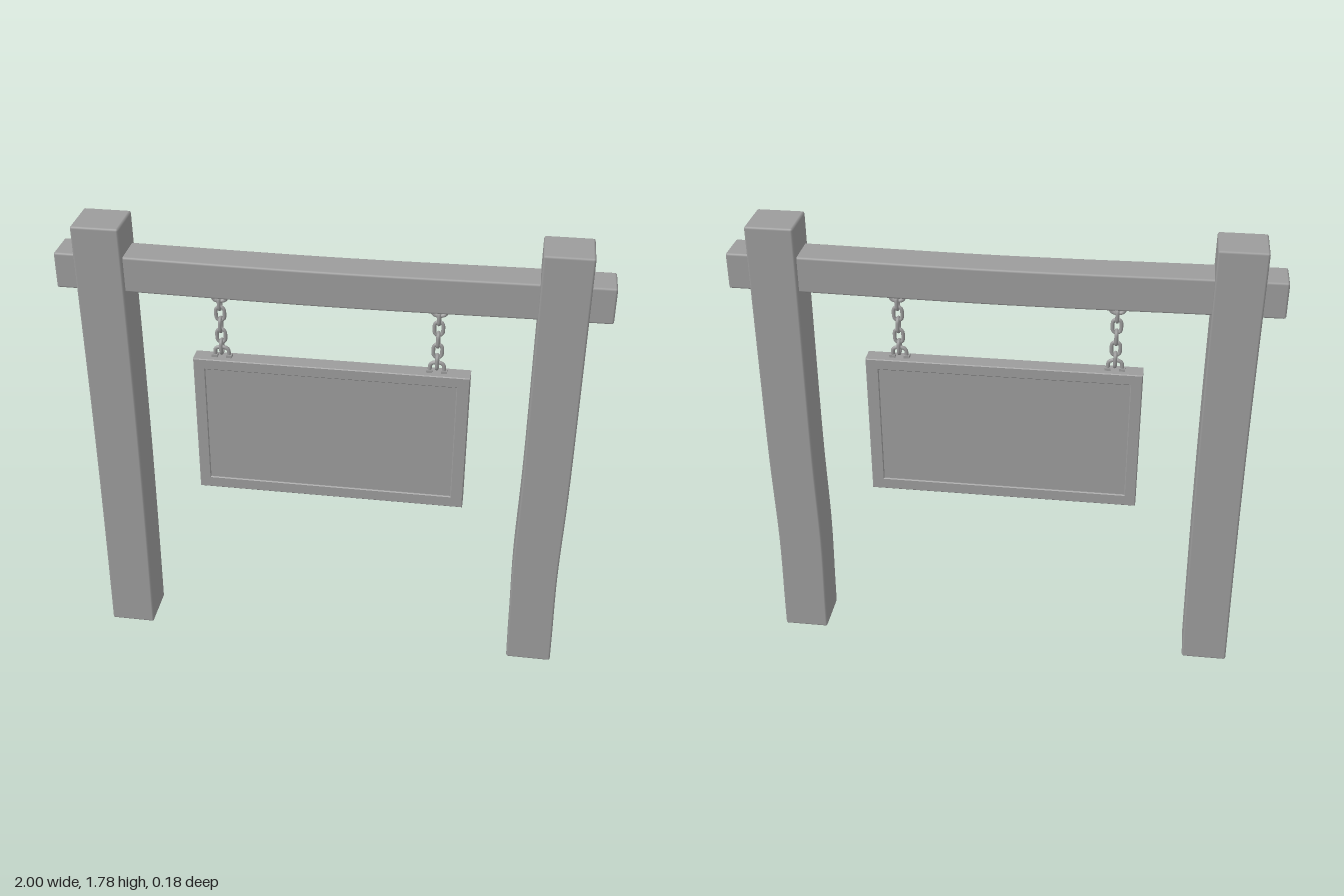
import * as THREE from 'three';

const material = new THREE.MeshStandardMaterial({ color: 0x9c9c9c });

function part(name, geometry, parent) {
  const mesh = new THREE.Mesh(geometry, material);
  mesh.name = name;
  parent.add(mesh);
  return mesh;
}

// Upright timber centred on the origin, with smoothly rounded edges
function timber(width, length, depth) {
  const r = 0.008;
  const half = [width / 2, length / 2, depth / 2];
  const segments = [3, 24, 3];
  const geometry = new THREE.BoxGeometry(width, length, depth, ...segments);
  const { position, normal } = geometry.attributes;
  const p = new THREE.Vector3(), n = new THREE.Vector3();
  const core = new THREE.Vector3(half[0] - r, half[1] - r, half[2] - r);
  const coreMin = core.clone().negate();
  for (let i = 0; i < position.count; i++) {
    p.fromBufferAttribute(position, i);
    // push the first inner ring out to where the rounding starts
    for (let a = 0; a < 3; a++) {
      const v = p.getComponent(a);
      const ring = half[a] * (1 - 2 / segments[a]);
      if (Math.abs(Math.abs(v) - ring) < 1e-4) p.setComponent(a, Math.sign(v) * (half[a] - r));
    }
    n.copy(p);
    p.clamp(coreMin, core);
    n.sub(p).normalize();
    p.addScaledVector(n, r);
    position.setXYZ(i, p.x, p.y, p.z);
    normal.setXYZ(i, n.x, n.y, n.z);
  }
  return geometry;
}

// Move every vertex by a rule
function warp(geometry, rule) {
  const p = geometry.attributes.position;
  const v = new THREE.Vector3();
  for (let i = 0; i < p.count; i++) {
    rule(v.fromBufferAttribute(p, i));
    p.setXYZ(i, v.x, v.y, v.z);
  }
  return geometry;
}

// Oval chain link standing in the xy plane
function linkGeometry(length, width, wire) {
  const r = width / 2 - wire, s = length / 2 - width / 2;
  const points = [];
  for (let i = 0; i < 16; i++) {
    const a = (i + 0.5) / 16 * Math.PI * 2;
    points.push(new THREE.Vector3(r * Math.cos(a), r * Math.sin(a) + s * Math.sign(Math.sin(a)), 0));
  }
  return new THREE.TubeGeometry(new THREE.CatmullRomCurve3(points, true), 32, wire, 8, true);
}

// Square-shouldered staple with flat feet, opening downwards at y = 0
function staple(name, parent) {
  const group = new THREE.Group();
  group.name = name;
  const path = new THREE.CatmullRomCurve3([
    [-0.026, 0], [-0.026, 0.018], [-0.023, 0.032], [-0.012, 0.039],
    [0.012, 0.039], [0.023, 0.032], [0.026, 0.018], [0.026, 0],
  ].map(([x, y]) => new THREE.Vector3(x, y, 0)));
  part('stapleArch', new THREE.TubeGeometry(path, 24, 0.0075, 8), group);
  for (const s of [-1, 1]) {
    part('stapleFoot', new THREE.BoxGeometry(0.022, 0.012, 0.022), group).position.set(s * 0.027, 0.004, 0);
  }
  parent.add(group);
  return group;
}

export function createModel() {
  const model = new THREE.Group();
  model.name = 'hangingSign';

  // Posts, each with its own slight bow
  const posts = [
    ['rightPost', -0.833, (y) => 0.006 * Math.sin(Math.PI * y / 1.785)],
    ['leftPost', 0.826, (y) => -0.008 * Math.exp(-(((y - 0.42) / 0.28) ** 2))],
  ];
  for (const [name, x, bow] of posts) {
    const geometry = timber(0.177, 1.785, 0.178).translate(0, 0.8925, 0);
    part(name, warp(geometry, (v) => { v.x += bow(v.y); }), model).position.x = x;
  }

  // Crossbeam, sagging a little in the middle
  const beam = timber(0.137, 2, 0.138).rotateZ(Math.PI / 2).translate(0, 1.602, 0);
  part('crossbeam', warp(beam, (v) => {
    v.y -= 0.008 * Math.cos(Math.PI * v.x / 2) ** 2;
  }), model);

  // Sign board: frame with a shallow recessed panel on both faces
  const sign = new THREE.Group();
  sign.name = 'signBoard';
  sign.position.y = 0.971;
  model.add(sign);
  const rectangle = (x0, y0, x1, y1) =>
    [[x0, y0], [x1, y0], [x1, y1], [x0, y1]].map(([x, y]) => new THREE.Vector2(x, y));
  const outline = new THREE.Shape(rectangle(-0.514, -0.284, 0.514, 0.284));
  outline.holes.push(new THREE.Path(rectangle(-0.476, -0.243, 0.472, 0.247)));
  const frame = new THREE.ExtrudeGeometry(outline, {
    depth: 0.062, bevelThickness: 0.003, bevelSize: 0.003, bevelSegments: 1,
  });
  part('signFrame', frame.translate(0, 0, -0.031), sign);
  part('signPanel', new THREE.BoxGeometry(0.97, 0.51, 0.056), sign);

  // Chains between beam and sign
  const link = linkGeometry(0.068, 0.045, 0.007);
  for (const [name, x] of [['rightChain', -0.412], ['leftChain', 0.392]]) {
    const chain = new THREE.Group();
    chain.name = name;
    chain.position.x = x;
    model.add(chain);
    const top = staple('beamStaple', chain);
    top.position.y = 1.529;
    top.rotation.z = Math.PI;
    staple('signStaple', chain).position.y = 1.258;
    for (let i = 0; i < 5; i++) {
      const mesh = part('chainLink', link, chain);
      mesh.position.y = 1.483 - i * 0.0455;
      mesh.rotation.y = i % 2 ? 0 : Math.PI / 2;
    }
  }
  return model;
}
